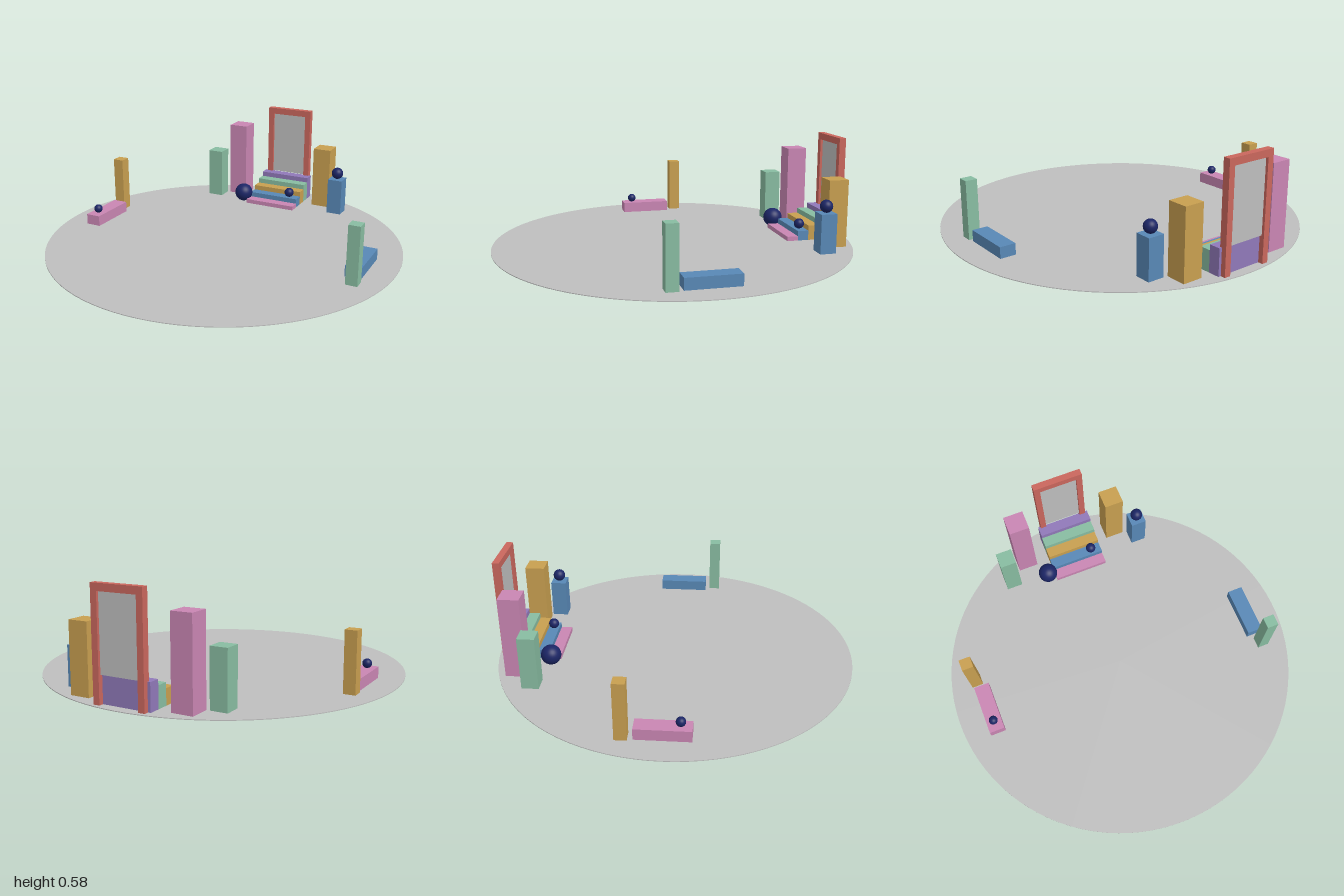
import * as THREE from 'three';

const mat = (name, color, side = THREE.FrontSide) => {
  const m = new THREE.MeshStandardMaterial({ color, side });
  m.name = name;
  return m;
};

export function createModel() {
  const model = new THREE.Group();
  model.name = 'stageSet';
  const grey = mat('grey', 0xbebebe);
  const pink = mat('pink', 0xc986b3);
  const green = mat('green', 0x88bca1);
  const gold = mat('gold', 0xc89f50);
  const blue = mat('blue', 0x5888b6);
  const purple = mat('purple', 0x9079b9);
  const red = mat('red', 0xca675d);
  const navy = mat('navy', 0x1b2565);

  const add = (name, geometry, material, x, y, z, parent = model) => {
    const mesh = new THREE.Mesh(geometry, material);
    mesh.name = name;
    mesh.position.set(x, y, z);
    parent.add(mesh);
    return mesh;
  };
  // Block standing on the floor, given its centre and size
  const block = (name, material, x, z, w, h, d, parent) =>
    add(name, new THREE.BoxGeometry(w, h, d), material, x, h / 2, z, parent);
  // Ball resting on a surface of height base
  const ball = (name, x, base, z, r) =>
    add(name, new THREE.SphereGeometry(r, 32, 20), navy, x, base + r, z);

  // Round floor
  add('floor', new THREE.CylinderGeometry(1, 1, 0.004, 96), grey, 0, 0.002, 0);

  // Staircase of solid steps rising toward the back
  const stairs = new THREE.Group();
  stairs.name = 'stairs';
  model.add(stairs);
  const tread = 0.0625, rise = 0.0293;
  [pink, blue, gold, green, purple].forEach((m, i) =>
    block(`step${i + 1}`, m, 0, -0.633 - (i + 0.5) * tread, 0.32, (i + 1) * rise, tread, stairs));

  // Doorway: frame with a recessed panel above the top step
  const doorway = new THREE.Group();
  doorway.name = 'doorway';
  model.add(doorway);
  const outline = new THREE.Shape([
    [-0.145, 0], [-0.11, 0], [-0.11, 0.54], [0.11, 0.54],
    [0.11, 0], [0.145, 0], [0.145, 0.578], [-0.145, 0.578],
  ].map(([x, y]) => new THREE.Vector2(x, y)));
  add('doorFrame', new THREE.ExtrudeGeometry(outline, { depth: 0.038, bevelEnabled: false }),
    red, 0, 0, -0.972, doorway);
  add('doorPanel', new THREE.BoxGeometry(0.22, 0.392, 0.01), grey, 0, 0.344, -0.953, doorway);

  // Pillars
  block('leftBackPillar', gold, 0.284, -0.849, 0.11, 0.378, 0.11);
  block('leftShortPillar', blue, 0.408, -0.747, 0.089, 0.22, 0.089);
  block('rightBackPillar', pink, -0.296, -0.841, 0.115, 0.47, 0.115);
  block('rightShortPillar', green, -0.418, -0.737, 0.093, 0.305, 0.093);
  block('leftSidePillar', green, 0.831, 0.2, 0.064, 0.325, 0.064);
  block('rightSidePillar', gold, -0.832, -0.202, 0.064, 0.325, 0.064);

  // Benches
  block('leftBench', blue, 0.81, 0, 0.087, 0.065, 0.287);
  block('rightBench', pink, -0.81, 0, 0.087, 0.065, 0.287);

  // Balls
  ball('largeBall', -0.202, 0.002, -0.678, 0.056);
  ball('stepBall', 0.098, 2 * rise, -0.725, 0.029);
  ball('pillarBall', 0.408, 0.22, -0.747, 0.035);
  ball('benchBall', -0.81, 0.065, 0.086, 0.025);

  return model;
}
